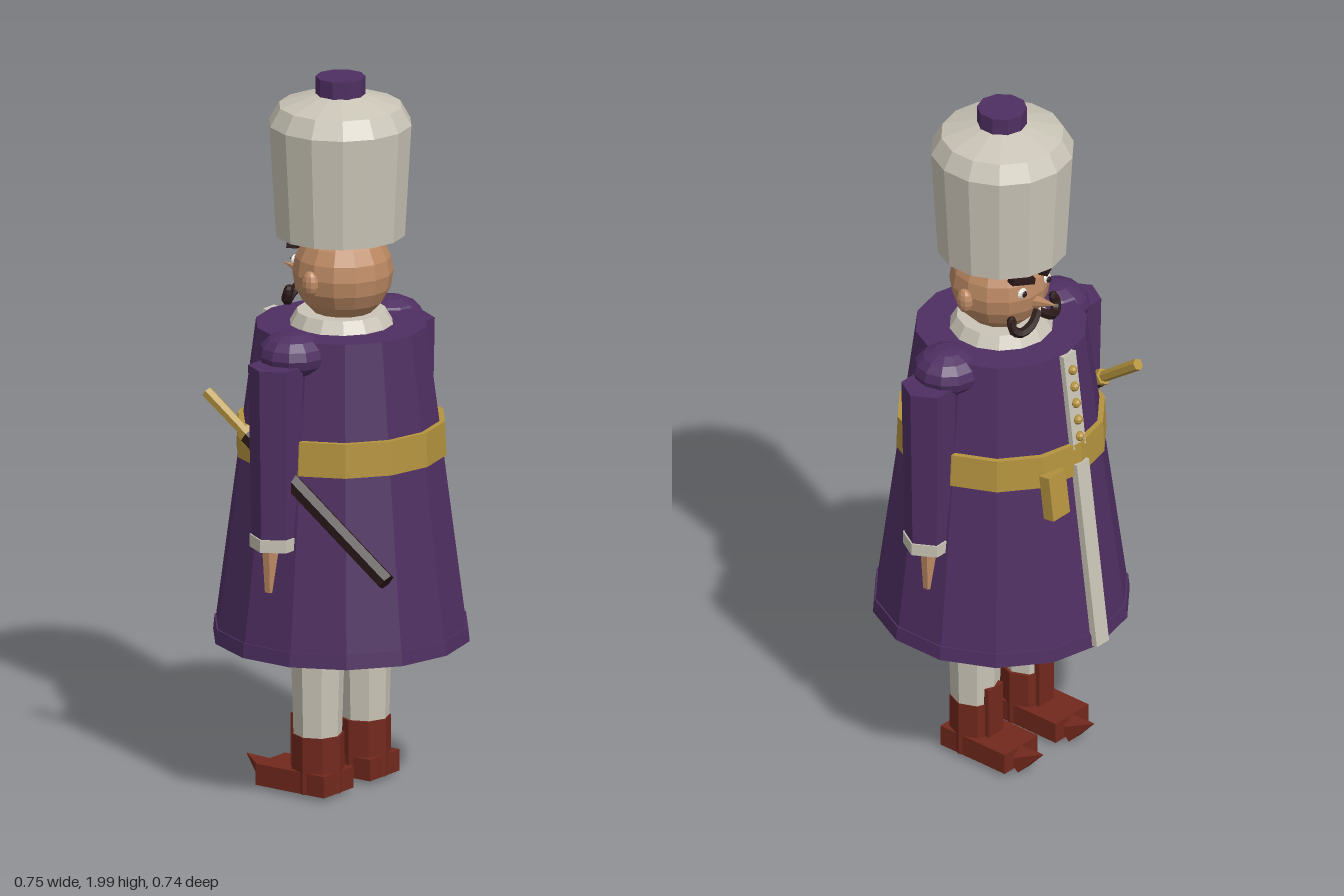
import * as THREE from 'three';

const paint = (name, color) => Object.assign(
  new THREE.MeshStandardMaterial({ color, flatShading: true }), { name });

export function createModel() {
  const purple = paint('purple cloth', 0x4f2f62);
  const cream = paint('cream', 0xc9c4b6);
  const gold = paint('gold', 0xb5943f);
  const skin = paint('skin', 0xbd8a64);
  const red = paint('red leather', 0x73291d);
  const dark = paint('dark brown', 0x2c1919);
  const white = paint('eye white', 0xe6e2da);

  const model = new THREE.Group();
  model.name = 'soldier';
  const Z = -0.008; // body axis

  const add = (name, geometry, material, x = 0, y = 0, z = 0) => {
    const mesh = new THREE.Mesh(geometry, material);
    mesh.name = name;
    mesh.position.set(x, y, z);
    model.add(mesh);
    return mesh;
  };
  const box = (name, mat, w, h, d, x, y, z) => add(name, new THREE.BoxGeometry(w, h, d), mat, x, y, z);
  // upright tapered cylinder given by its bottom and top heights
  const column = (name, mat, rBottom, rTop, y0, y1, sides, x = 0, z = Z) =>
    add(name, new THREE.CylinderGeometry(rTop, rBottom, y1 - y0, sides), mat, x, (y0 + y1) / 2, z);
  // tapered rod between two points
  const rod = (name, mat, a, b, ra, rb, sides) => {
    const from = new THREE.Vector3(...a), to = new THREE.Vector3(...b);
    const dir = to.clone().sub(from);
    const mesh = add(name, new THREE.CylinderGeometry(rb, ra, dir.length(), sides), mat);
    mesh.position.copy(from).add(to).multiplyScalar(0.5);
    mesh.quaternion.setFromUnitVectors(new THREE.Vector3(0, 1, 0), dir.normalize());
    return mesh;
  };
  const ball = (name, mat, r, sx, sy, sz, x, y, z, w = 10, h = 7) => {
    const mesh = add(name, new THREE.SphereGeometry(r, w, h), mat, x, y, z);
    mesh.scale.set(sx, sy, sz);
    return mesh;
  };

  // coat, hem, belt and collar
  column('coat', purple, 0.35, 0.235, 0.43, 1.31, 14);
  column('hem', purple, 0.353, 0.349, 0.43, 0.47, 14);
  column('belt', gold, 0.289, 0.285, 0.95, 1.045, 14);
  column('collar', cream, 0.145, 0.122, 1.305, 1.345, 14);

  // coat front: trim strips, buttons and belt pouch
  const slope = Math.atan2(0.115, 0.88);
  const coatFront = y => Z - 0.235 - (1.31 - y) * 0.115 / 0.88;
  const strip = (name, y0, y1, depth) => {
    const y = (y0 + y1) / 2;
    box(name, cream, 0.05, (y1 - y0) / Math.cos(slope), depth, 0, y, coatFront(y)).rotation.x = slope;
  };
  strip('upperTrim', 1.03, 1.31, 0.02);
  strip('lowerTrim', 0.435, 0.985, 0.03);
  for (let i = 0; i < 5; i++) {
    const y = 1.265 - i * 0.05;
    ball('button', gold, 0.014, 1, 1, 1, 0, y, coatFront(y) - 0.014, 8, 5);
  }
  box('pouch', gold, 0.068, 0.13, 0.035, 0.105, 0.93, -0.29).rotation.x = slope;

  // head and face, looking towards -z
  ball('head', skin, 0.137, 1, 1, 1, 0, 1.455, -0.003, 14, 10);
  rod('nose', skin, [0, 1.428, -0.12], [0, 1.447, -0.207], 0.022, 0, 6);
  for (const s of [-1, 1]) {
    ball('ear', skin, 0.036, 0.5, 1, 0.7, s * 0.148, 1.45, -0.005);
    ball('eye', white, 0.018, 1, 0.8, 0.5, s * 0.05, 1.477, -0.126, 8, 6);
    ball('pupil', dark, 0.009, 1, 1, 0.5, s * 0.05, 1.477, -0.135, 8, 6);
    const brow = box('eyebrow', dark, 0.07, 0.018, 0.028, s * 0.052, 1.52, -0.126);
    brow.rotation.set(0, s * -0.35, s * 0.2, 'YXZ');
    const curl = new THREE.CatmullRomCurve3([
      [0, 1.403, -0.138], [0.035, 1.378, -0.147], [0.07, 1.364, -0.138], [0.09, 1.38, -0.126], [0.086, 1.402, -0.12],
    ].map(([x, y, z]) => new THREE.Vector3(s * x, y, z)));
    add('moustache', new THREE.TubeGeometry(curl, 10, 0.014, 6), dark);
    ball('moustacheTip', dark, 0.014, 1, 1, 1, s * 0.086, 1.402, -0.12, 6, 4);
  }

  // tall hat with a button on top
  const hatProfile = [[0, 1.56], [0.178, 1.56], [0.196, 1.87], [0.168, 1.92], [0.066, 1.952], [0, 1.952]];
  add('hat', new THREE.LatheGeometry(hatProfile.map(p => new THREE.Vector2(...p)), 14), cream, 0, 0, -0.012);
  column('hatButton', purple, 0.068, 0.068, 1.945, 2, 10, 0, -0.011);

  // arms, legs and boots
  for (const s of [-1, 1]) {
    ball('shoulder', purple, 0.095, 1, 0.68, 1, s * 0.222, 1.27, Z, 12, 8);
    column('sleeve', purple, 0.066, 0.075, 0.77, 1.255, 6, s * 0.3).rotation.y = Math.PI / 2;
    column('cuff', cream, 0.071, 0.071, 0.745, 0.78, 6, s * 0.3).rotation.y = Math.PI / 2;
    column('hand', skin, 0.028, 0.038, 0.62, 0.75, 6, s * 0.3, -0.018).scale.z = 0.6;

    column('leg', cream, 0.066, 0.076, 0.16, 0.5, 8, s * 0.108);
    column('bootShaft', red, 0.072, 0.072, 0.02, 0.18, 8, s * 0.105);
    box('bootTongue', red, 0.06, 0.2, 0.065, s * 0.105, 0.13, -0.047);
    box('foot', red, 0.135, 0.06, 0.23, s * 0.105, 0.05, -0.055);
    rod('toe', red, [s * 0.105, 0.04, -0.165], [s * 0.105, 0.082, -0.25], 0.043, 0, 5);
  }

  // sword at the hip: scabbard, guard and grip
  const along = t => [-0.29, 0.705 + t * 0.72, 0.357 - t];
  rod('scabbard', dark, along(0), along(0.465), 0.025, 0.025, 6);
  rod('guard', gold, along(0.46), along(0.48), 0.024, 0.024, 6);
  rod('grip', gold, along(0.48), along(0.603), 0.016, 0.017, 6);

  return model;
}
